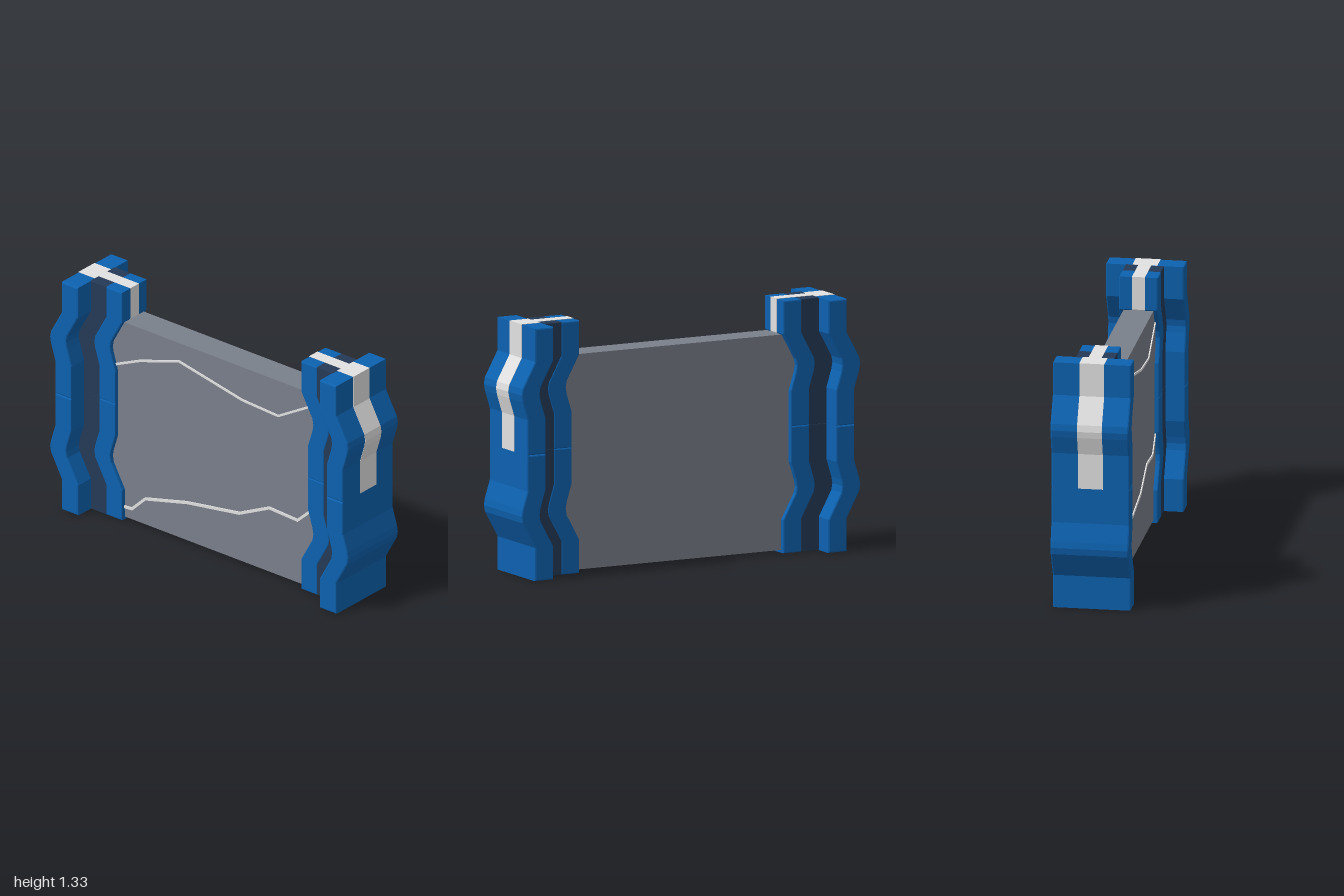
import * as THREE from 'three';

const mat = (name, color, side = THREE.FrontSide) =>
  Object.assign(new THREE.MeshStandardMaterial({ color, side }), { name });

const H = 1.325; // post height
// [height, outward shift] along the upper half of a post; the lower half mirrors it
const WAVE = [[H / 2, 0.045], [0.85, 0.045], [0.945, 0.074], [0.98, 0.08], [1.015, 0.074], [1.15, 0], [H, 0]];

// Closed wavy band outline between x0 and x1
function bandShape(x0, x1, side, lower, grow = 0) {
  const last = WAVE.length - 1;
  const path = WAVE.map(([y, s], i) => {
    const yy = y + (i === last ? grow : 0);
    return [lower ? H - yy : yy, s];
  });
  const pts = [
    ...path.map(([y, s]) => new THREE.Vector2(side * (x1 + s), y)),
    ...path.slice().reverse().map(([y, s]) => new THREE.Vector2(side * (x0 + s), y)),
  ];
  return new THREE.Shape(pts);
}

function extrudeBand(shape, halfDepth, bevel) {
  const depth = 2 * (halfDepth - bevel);
  const geo = new THREE.ExtrudeGeometry(shape, {
    depth, bevelEnabled: bevel > 0, bevelThickness: bevel, bevelSize: bevel,
    bevelOffset: -bevel, bevelSegments: 2,
  });
  return geo.translate(0, 0, -depth / 2);
}

// Thin ribbon following a jagged line on the front of the panel
function crackGeometry(points, width) {
  const v = points.map(([x, y]) => new THREE.Vector2(x, y));
  const up = [], down = [];
  v.forEach((p, i) => {
    const a = v[Math.max(i - 1, 0)], b = v[Math.min(i + 1, v.length - 1)];
    const d = b.clone().sub(a).normalize();
    const n = new THREE.Vector2(-d.y, d.x).multiplyScalar(width / 2);
    up.push(p.clone().add(n));
    down.unshift(p.clone().sub(n));
  });
  return new THREE.ExtrudeGeometry(new THREE.Shape([...up, ...down]), { depth: 0.008, bevelEnabled: false });
}

export function createModel() {
  const blue = mat('blue', 0x0d62b0);
  const navy = mat('navy', 0x243a56);
  const white = mat('white', 0xe2e2e2);
  const grey = mat('grey', 0x7a808b);

  const root = new THREE.Group();
  root.name = 'barrier';
  const add = (parent, name, geo, material) => {
    const m = new THREE.Mesh(geo, material);
    m.name = name;
    parent.add(m);
    return m;
  };

  // Posts: three wavy bands each, in a lower and an upper half
  const bands = [
    ['outerBand', 0.81, 0.92, 0.205, blue, 0.008],
    ['middleBand', 0.705, 0.815, 0.1, navy, 0.002],
    ['innerBand', 0.6, 0.708, 0.102, blue, 0.006],
  ];
  for (const side of [-1, 1]) {
    const post = new THREE.Group();
    post.name = side > 0 ? 'leftPost' : 'rightPost';
    for (const lower of [true, false]) {
      for (const [name, x0, x1, half, material, bevel] of bands) {
        add(post, (lower ? 'lower ' : 'upper ') + name,
          extrudeBand(bandShape(x0, x1, side, lower), half, bevel), material);
      }
    }
    // White stripes over the top and down the upper half
    add(post, 'outerStripe', extrudeBand(bandShape(0.812, 0.922, side, false, 0.002), 0.065, 0), white);
    add(post, 'innerStripe', extrudeBand(bandShape(0.598, 0.812, side, false, 0.002), 0.034, 0), white);
    root.add(post);
  }

  // Panel between the posts
  add(root, 'panel', new THREE.BoxGeometry(1.42, 1.13, 0.156).translate(0, 0.58, 0), grey);

  // Jagged lines on the front
  const upperCrack = [[-0.7, 0.865], [-0.5, 0.955], [-0.235, 1.04], [0.19, 0.955], [0.43, 0.942], [0.7, 1.1]];
  const lowerCrack = [[-0.65, 0.07], [-0.55, 0.077], [-0.46, 0.165], [-0.18, 0.236], [0.17, 0.29],
    [0.37, 0.387], [0.56, 0.378], [0.69, 0.5]];
  add(root, 'upperCrack', crackGeometry(upperCrack, 0.012).translate(0, 0, 0.076), white);
  add(root, 'lowerCrack', crackGeometry(lowerCrack, 0.016).translate(0, 0, 0.076), white);

  return root;
}
